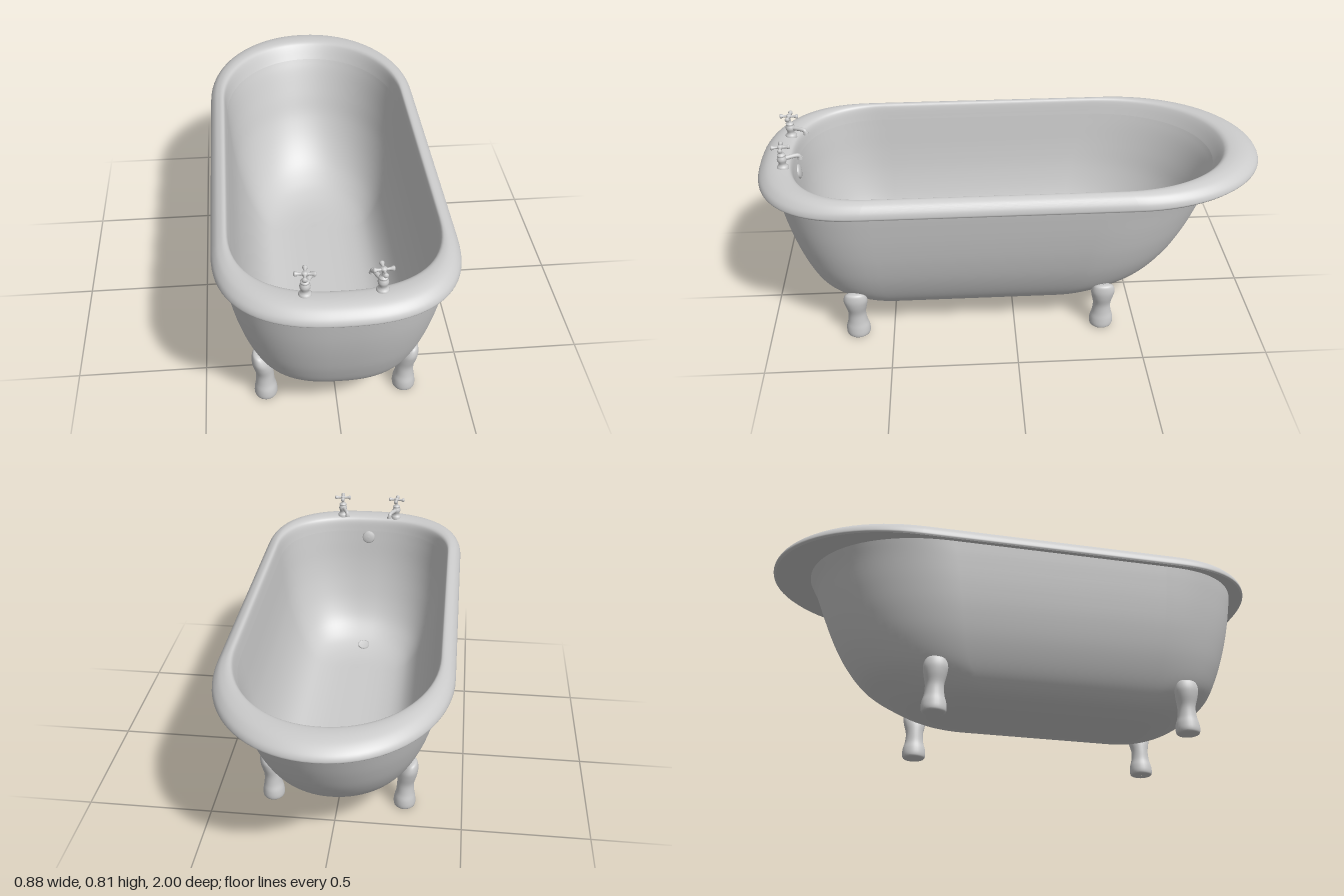
import * as THREE from 'three';

const material = new THREE.MeshStandardMaterial({ color: 0xcccccc, roughness: 0.6 });

function add(parent, name, geometry, x = 0, y = 0, z = 0) {
  const mesh = new THREE.Mesh(geometry, material);
  mesh.name = name;
  mesh.position.set(x, y, z);
  parent.add(mesh);
  return mesh;
}

// Skin a stack of closed rings (each an array of Vector3)
function skin(rings) {
  const n = rings[0].length;
  const index = [];
  for (let i = 0; i < rings.length - 1; i++) {
    for (let j = 0; j < n; j++) {
      const k = (j + 1) % n;
      const a = i * n + j, c = i * n + k;
      index.push(a, a + n, c, a + n, c + n, c);
    }
  }
  const g = new THREE.BufferGeometry().setFromPoints(rings.flat());
  g.setIndex(index);
  g.computeVertexNormals();
  return g;
}

// Smoothly interpolate rows of four numbers
function smoothRows(rows, steps) {
  const spline = (pick) => new THREE.CatmullRomCurve3(rows.map(pick), false, 'catmullrom', 0.5);
  const heights = spline((r) => new THREE.Vector3(r[0], 0, 0));
  const sizes = spline((r) => new THREE.Vector3(r[1], r[2], r[3]));
  const count = (rows.length - 1) * steps;
  return Array.from({ length: count + 1 }, (_, i) => {
    const s = sizes.getPoint(i / count);
    return [heights.getPoint(i / count).x, s.x, s.y, s.z];
  });
}

// Tub outline: straight sides, squarish front end, rounder back end
function tubRing([y, a, front, back]) {
  a = Math.max(a, 0);
  const half = 40, points = [];
  for (const [dir, end, depth, power] of [[1, front, 0.95 * a, 2.5], [-1, back, 1.25 * a, 2.05]]) {
    for (let i = 0; i <= half; i++) {
      const t = (i / half) * Math.PI;
      const c = i === half / 2 ? 0 : Math.cos(t);
      const s = i === half ? 0 : Math.sin(t);
      points.push(new THREE.Vector3(
        dir * a * Math.sign(c) * Math.abs(c) ** (2 / power), y,
        end + dir * depth * (s ** (2 / power) - 1)));
    }
  }
  return points;
}
const tubSkin = (rows, steps = 5) => skin(smoothRows(rows, steps).map(tubRing));

// Rows: height, half width, front z, back z
const OUTER = [
  [0.087, 0, 0.46, -0.22], [0.088, 0.07, 0.53, -0.27], [0.097, 0.15, 0.6, -0.36],
  [0.115, 0.215, 0.665, -0.43], [0.15, 0.26, 0.735, -0.51], [0.21, 0.3, 0.81, -0.61],
  [0.3, 0.34, 0.855, -0.685], [0.4, 0.37, 0.888, -0.74], [0.5, 0.391, 0.913, -0.782],
  [0.6, 0.407, 0.93, -0.82], [0.66, 0.415, 0.937, -0.85],
];
const LIP = [[0.66, 0.405, 0.925, -0.835], [0.656, 0.437, 0.99, -0.99]];
const RIM = [
  [0.656, 0.437, 0.99, -0.99], [0.665, 0.44, 0.998, -1], [0.685, 0.435, 0.99, -0.99],
  [0.705, 0.42, 0.967, -0.96], [0.715, 0.402, 0.94, -0.925], [0.717, 0.39, 0.91, -0.89],
  [0.712, 0.382, 0.88, -0.867], [0.695, 0.377, 0.866, -0.85], [0.65, 0.371, 0.858, -0.82],
];
const INNER = [
  [0.65, 0.371, 0.858, -0.82], [0.6, 0.366, 0.852, -0.795], [0.5, 0.355, 0.84, -0.752],
  [0.4, 0.338, 0.82, -0.71], [0.3, 0.31, 0.79, -0.65], [0.22, 0.275, 0.75, -0.58],
  [0.165, 0.235, 0.695, -0.5], [0.135, 0.19, 0.64, -0.43], [0.12, 0.13, 0.58, -0.36],
  [0.115, 0.06, 0.52, -0.27], [0.115, 0, 0.46, -0.22],
];

// Foot rows: height, outward offset, radius in x, radius in z
const FOOT = [
  [0, 0.268, 0.001, 0.001], [0, 0.268, 0.036, 0.038], [0.012, 0.268, 0.044, 0.048],
  [0.04, 0.268, 0.042, 0.047], [0.07, 0.269, 0.036, 0.039], [0.11, 0.27, 0.034, 0.036],
  [0.15, 0.277, 0.037, 0.044], [0.18, 0.284, 0.034, 0.048], [0.205, 0.291, 0.024, 0.04],
  [0.215, 0.296, 0.013, 0.025], [0.218, 0.297, 0.001, 0.001],
];
function footGeometry(side) {
  return skin(smoothRows(FOOT, 4).map(([y, x, rx, rz]) =>
    Array.from({ length: 28 }, (_, i) => {
      const t = (i / 28) * Math.PI * 2;
      return new THREE.Vector3(side * x + rx * Math.cos(t), Math.max(y, 0), rz * Math.sin(t));
    })));
}

function lathe(points, segments = 24) {
  return new THREE.LatheGeometry(points.map(([r, y]) => new THREE.Vector2(r, y)), segments);
}

// Pillar tap with its spout pointing to -z
function createTap(yaw) {
  const tap = new THREE.Group();
  tap.name = 'tap';
  add(tap, 'tapBody', lathe([
    [0.023, -0.006], [0.023, 0.004], [0.019, 0.009], [0.014, 0.014], [0.014, 0.022],
    [0.018, 0.03], [0.019, 0.038], [0.016, 0.047], [0.013, 0.05], [0.016, 0.052],
    [0.016, 0.057], [0.009, 0.06], [0.006, 0.064], [0.006, 0.08], [0.01, 0.084],
    [0.011, 0.09], [0.009, 0.095], [0, 0.097],
  ]));
  const path = new THREE.CatmullRomCurve3([
    [0, 0.036, 0], [0, 0.038, -0.03], [0, 0.038, -0.054], [0, 0.035, -0.066], [0, 0.024, -0.071],
  ].map((p) => new THREE.Vector3(...p)));
  add(tap, 'spout', new THREE.TubeGeometry(path, 20, 0.0085, 14));
  add(tap, 'spoutNozzle', new THREE.CylinderGeometry(0.0095, 0.0105, 0.009, 16), 0, 0.024, -0.071);

  // Cross handle with flared arms
  const handle = new THREE.Group();
  handle.name = 'crossHandle';
  handle.position.y = 0.088;
  const arm = lathe([[0.006, 0], [0.0045, 0.014], [0.006, 0.024], [0.009, 0.03],
    [0.009, 0.034], [0.005, 0.037], [0, 0.038]], 14);
  for (let i = 0; i < 4; i++) {
    const mesh = add(handle, 'handleArm', arm);
    mesh.rotation.set(0, (i * Math.PI) / 2, Math.PI / 2);
  }
  handle.rotation.y = -yaw * 0.8;
  tap.add(handle);
  tap.rotation.y = yaw;
  return tap;
}

export function createModel() {
  const bath = new THREE.Group();
  bath.name = 'bathtub';

  // Tub shell and rolled rim
  add(bath, 'outerShell', tubSkin(OUTER));
  add(bath, 'rimUnderside', skin([...LIP].reverse().map(tubRing))).material = new THREE.MeshStandardMaterial({
    color: 0xcccccc, roughness: 0.6, side: THREE.DoubleSide,
  });
  add(bath, 'rolledRim', tubSkin(RIM));
  add(bath, 'innerBasin', tubSkin(INNER));

  // Feet and taps, mirrored left and right
  for (const side of [1, -1]) {
    const foot = footGeometry(side);
    for (const z of [0.645, -0.36]) add(bath, side > 0 ? 'leftFoot' : 'rightFoot', foot, 0, 0, z);
    const tap = createTap(side * 0.42);
    tap.position.set(side * 0.128, 0.715, 0.888);
    bath.add(tap);
  }

  // Drain in the floor
  add(bath, 'drain', lathe([[0.027, -0.01], [0.027, 0.004], [0.023, 0.006], [0.019, 0.002], [0, 0.002]], 28),
    0, 0.138, 0.65).rotation.x = -0.35;

  // Overflow on the front wall
  const overflow = add(bath, 'overflow',
    lathe([[0.029, -0.012], [0.029, 0.005], [0.025, 0.009], [0.012, 0.011], [0, 0.012]], 28), 0, 0.62, 0.855);
  overflow.rotation.x = -Math.PI / 2 + 0.12;
  return bath;
}
